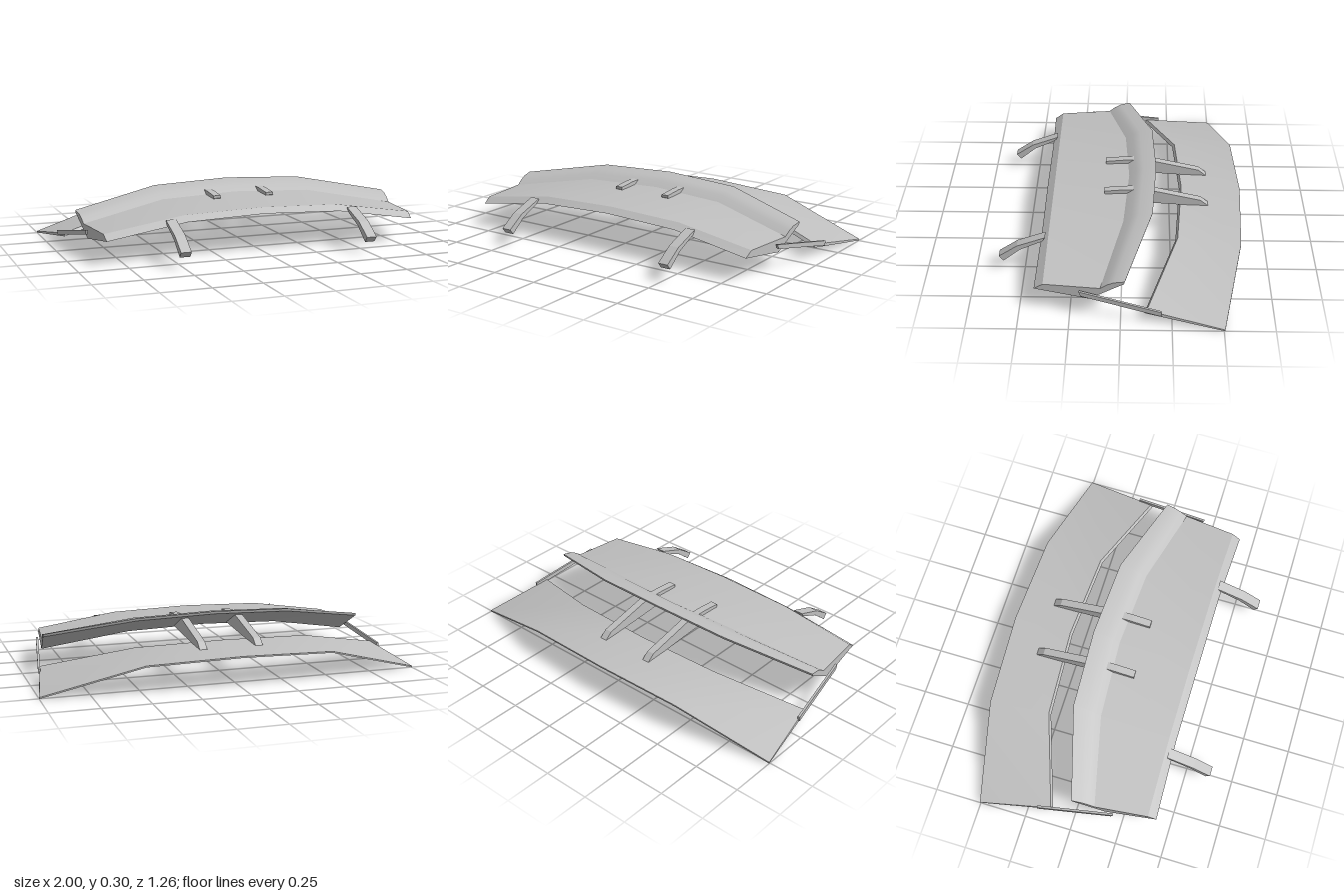
import * as THREE from 'three';
import { mergeGeometries } from 'three/addons/utils/BufferGeometryUtils.js';

const grey = new THREE.MeshStandardMaterial({ color: 0xc0c0c0 });
grey.name = 'plainGrey';

// Closed loft across the span. Each half-section is a loop of [x, y, z] points
// running over the top from front to rear, then back underneath.
// Each run of points is smooth; edges between runs stay sharp.
function loft(name, half, runs) {
  const mirrored = half.slice(1).reverse().map(s => s.map(([x, y, z]) => [-x, y, z]));
  const stations = [...mirrored, ...half];
  const parts = runs.map(run => {
    const pos = [], idx = [], n = run.length;
    stations.forEach(s => run.forEach(j => pos.push(...s[j])));
    for (let i = 0; i < stations.length - 1; i++) {
      for (let j = 0; j < n - 1; j++) {
        const a = i * n + j, d = a + 1, b = a + n, c = b + 1;
        idx.push(a, b, c, a, c, d);
      }
    }
    return surface(pos, idx);
  });
  // End caps
  [[stations[stations.length - 1], 1], [stations[0], -1]].forEach(([s, side]) => {
    const outline = s.map(p => new THREE.Vector2(-p[2], p[1]));
    const idx = [];
    THREE.ShapeUtils.triangulateShape(outline, []).forEach(([a, b, c]) =>
      idx.push(...(side > 0 ? [a, b, c] : [a, c, b])));
    parts.push(surface(s.flat(), idx));
  });
  const mesh = new THREE.Mesh(mergeGeometries(parts), grey);
  mesh.name = name;
  return mesh;
}

function surface(pos, idx) {
  const g = new THREE.BufferGeometry();
  g.setAttribute('position', new THREE.Float32BufferAttribute(pos, 3));
  g.setIndex(idx);
  g.computeVertexNormals();
  return g;
}

// Side profile of [z, y] points extruded across x, centred on x = 0
function bracket(name, profile, width, x) {
  const shape = new THREE.Shape(profile.map(([z, y]) => new THREE.Vector2(-z, y)));
  const g = new THREE.ExtrudeGeometry(shape, { depth: width, bevelEnabled: false });
  g.translate(0, 0, -width / 2).rotateY(Math.PI / 2);
  const mesh = new THREE.Mesh(g, grey);
  mesh.name = name;
  mesh.position.x = x;
  return mesh;
}

export function createModel() {
  const group = new THREE.Group();
  group.name = 'wingAssembly';

  // Main plane: flat deck, curled-up trailing lip, wedge underside
  const mainSection = (xf, xr, front, deck, crease, lip, rear, under) => {
    const xAt = z => xf + (xr - xf) * (front[0] - z) / (front[0] - rear[0]);
    const between = (a, b, t) => [a[0] + (b[0] - a[0]) * t, a[1] + (b[1] - a[1]) * t];
    const mid = between(crease, lip, 0.5);
    mid[1] += 0.004;
    const loop = [front, deck, crease, mid, lip, rear, [rear[0] + 0.004, rear[1] - 0.014], under];
    return loop.map(([z, y]) => [xAt(z), y, z]);
  };
  group.add(loft('mainPlane', [
    mainSection(0, 0, [0.41, 0.205], [0.37, 0.232], [-0.03, 0.25], [-0.105, 0.295], [-0.175, 0.305], [0.03, 0.195]),
    mainSection(0.42, 0.42, [0.41, 0.19], [0.372, 0.22], [-0.005, 0.237], [-0.085, 0.28], [-0.155, 0.29], [0.05, 0.178]),
    mainSection(0.84, 0.89, [0.425, 0.125], [0.38, 0.155], [0.1, 0.157], [0.035, 0.197], [-0.02, 0.208], [0.155, 0.09]),
  ], [[0, 1], [1, 2], [2, 3, 4, 5], [5, 6], [6, 7], [7, 0]]));

  // Rear blade: thin arched plate
  const bladeSection = (xf, xr, zf, yf, zr, yr) => [
    [xf, yf, zf - 0.012], [xr, yr, zr], [xr, yr - 0.008, zr], [xf, yf - 0.016, zf]];
  group.add(loft('rearBlade', [
    bladeSection(0, 0, -0.3, 0.182, -0.63, 0.168),
    bladeSection(0.465, 0.49, -0.272, 0.168, -0.607, 0.152),
    bladeSection(0.93, 1, -0.115, 0.068, -0.505, 0.01),
  ], [[0, 1], [1, 2], [2, 3], [3, 0]]));

  const fin = [[0.1, 0.243], [0.1, 0.257], [0, 0.266], [-0.12, 0.27], [-0.41, 0.205],
    [-0.45, 0.172], [-0.3, 0.177], [0.03, 0.2]];
  const mount = [[0.63, 0.088], [0.535, 0.152], [0.39, 0.205], [0.405, 0.182],
    [0.52, 0.13], [0.607, 0.06]];
  const strut = [[0.205, 0.145], [-0.2, 0.072], [-0.2, 0.047], [0.195, 0.12]];

  for (const side of [1, -1]) {
    const label = side > 0 ? 'left' : 'right';
    // Fins joining the two planes
    group.add(bracket(label + 'CentreFin', fin, 0.04, side * 0.15));
    // Forward mounting arms
    group.add(bracket(label + 'FrontMount', mount, 0.054, side * 0.5));
    // Slim end struts, splayed outward to the rear
    const end = bracket(label + 'EndStrut', strut, 0.012, side * 0.915);
    end.rotation.y = -side * 0.15;
    group.add(end);
  }
  return group;
}
